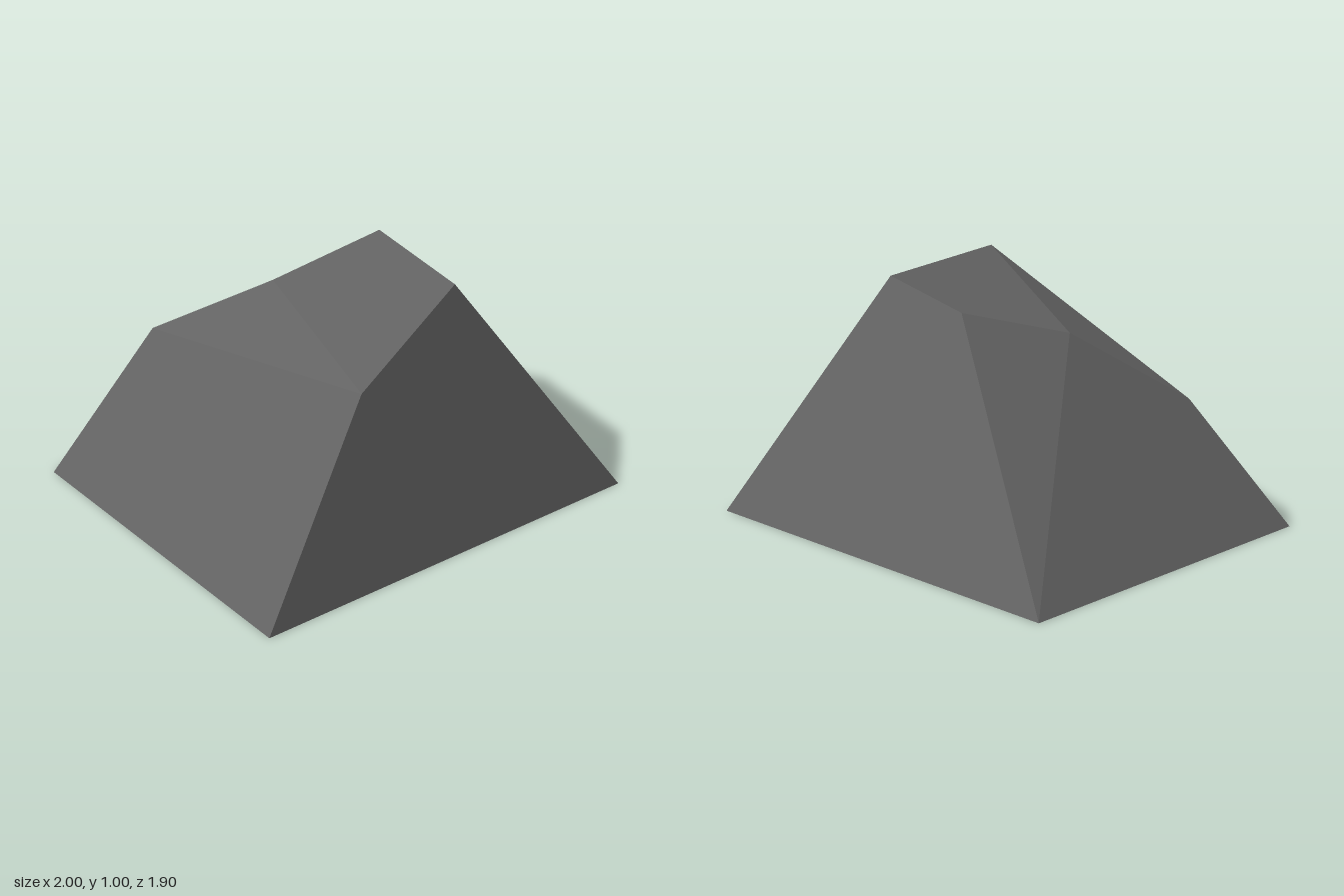
import * as THREE from 'three';

// Corners of the faceted rock: four on the ground, five above
const corners = {
  baseBackRight: [-1, 0, -0.68],
  baseBackLeft: [0.86, 0, -0.95],
  baseFrontLeft: [1, 0, 0.95],
  baseFrontRight: [-0.61, 0, 0.84],
  topBackRight: [-0.01, 1, -0.38],
  topBackLeft: [0.53, 1, -0.36],
  topFrontLeft: [0.86, 0.89, 0.37],
  topFrontRight: [-0.14, 0.86, 0.07],
  ledge: [-0.48, 0.6, 0.43],
};

// Each facet lists its corners anticlockwise, fanned from the first one
const facets = {
  underside: ['baseBackRight', 'baseBackLeft', 'baseFrontLeft', 'baseFrontRight'],
  frontFace: ['ledge', 'baseFrontRight', 'baseFrontLeft', 'topFrontLeft'],
  leftFace: ['baseBackLeft', 'topBackLeft', 'topFrontLeft', 'baseFrontLeft'],
  backFace: ['baseBackRight', 'topBackRight', 'topBackLeft', 'baseBackLeft'],
  rightFace: ['baseBackRight', 'baseFrontRight', 'ledge', 'topFrontRight'],
  rightUpperFace: ['baseBackRight', 'topFrontRight', 'topBackRight'],
  topFace: ['topBackRight', 'topFrontRight', 'topFrontLeft', 'topBackLeft'],
  slopedLedge: ['ledge', 'topFrontLeft', 'topFrontRight'],
};

// Builds one facet with a single averaged normal
function facetGeometry(names) {
  const p = names.map((n) => new THREE.Vector3(...corners[n]));
  const normal = new THREE.Vector3();
  const index = [];
  for (let i = 1; i < p.length - 1; i++) {
    index.push(0, i, i + 1);
    normal.add(p[i].clone().sub(p[0]).cross(p[i + 1].clone().sub(p[0])));
  }
  normal.normalize();
  const geometry = new THREE.BufferGeometry().setFromPoints(p);
  const normals = p.flatMap(() => normal.toArray());
  geometry.setAttribute('normal', new THREE.Float32BufferAttribute(normals, 3));
  geometry.setIndex(index);
  return geometry;
}

export function createModel() {
  const stone = new THREE.MeshStandardMaterial({ color: 0x636363 });
  stone.name = 'dark grey stone';

  const rock = new THREE.Group();
  rock.name = 'rock';
  for (const [name, names] of Object.entries(facets)) {
    const mesh = new THREE.Mesh(facetGeometry(names), stone);
    mesh.name = name;
    rock.add(mesh);
  }
  return rock;
}
